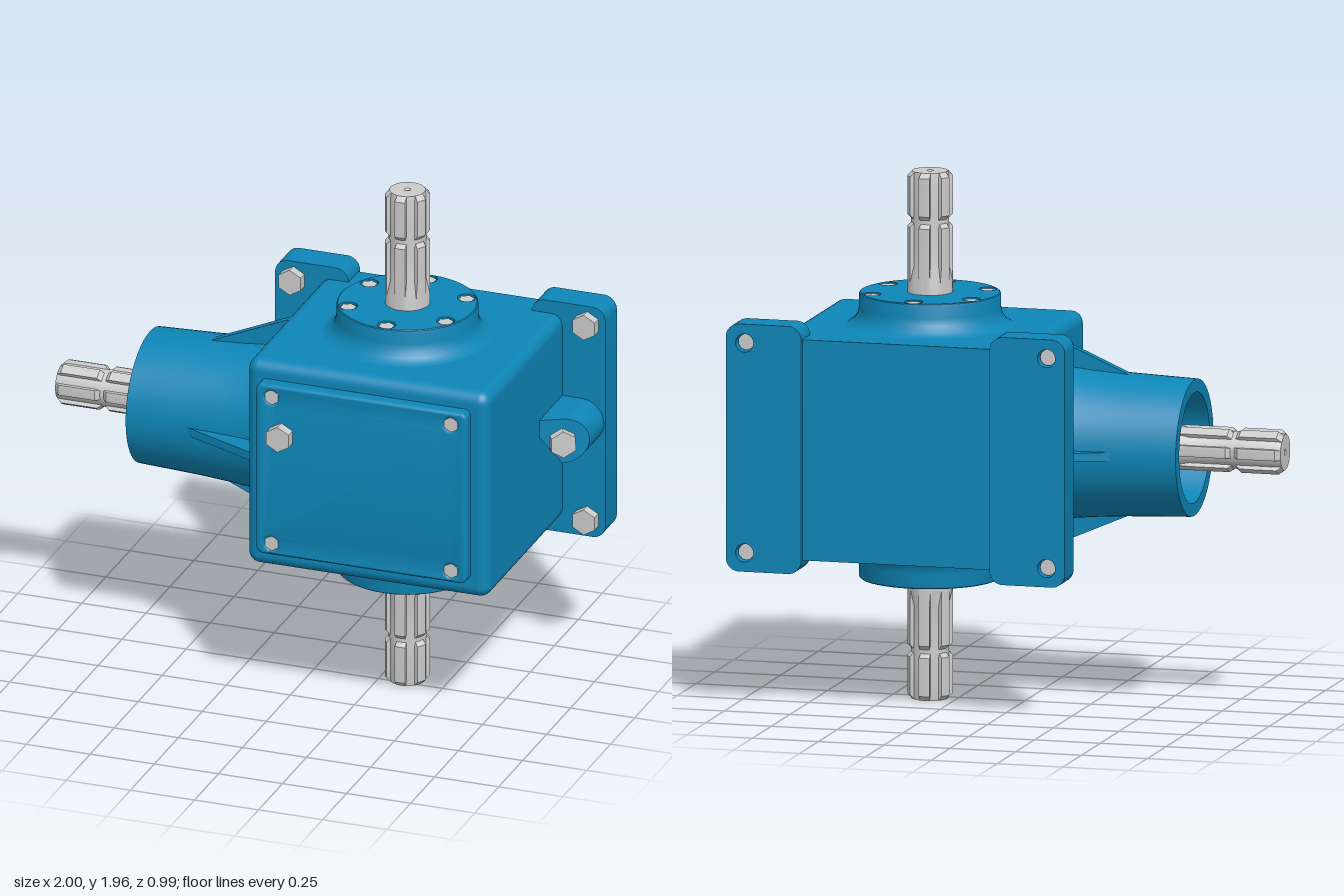
import * as THREE from 'three';
import { toCreasedNormals } from 'three/addons/utils/BufferGeometryUtils.js';
import { RoundedBoxGeometry } from 'three/addons/geometries/RoundedBoxGeometry.js';

const blue = new THREE.MeshStandardMaterial({ color: 0x0e86b7 });
const steel = new THREE.MeshStandardMaterial({ color: 0xcccccc });
const CX = 0.35, CY = 0.98, CZ = -0.037; // where the shaft axes meet

function add(parent, name, geometry, material = blue) {
  const mesh = new THREE.Mesh(geometry, material);
  mesh.name = name;
  parent.add(mesh);
  return mesh;
}

function lathe(points) {
  return toCreasedNormals(new THREE.LatheGeometry(points.map(p => new THREE.Vector2(...p)), 64), 0.6);
}

function hole(x, y, r) {
  return new THREE.Path().absarc(x, y, r, 0, Math.PI * 2, true);
}

function roundedRect(x0, y0, x1, y1, r) {
  const s = new THREE.Shape();
  s.absarc(x1 - r, y1 - r, r, 0, Math.PI / 2);
  s.absarc(x0 + r, y1 - r, r, Math.PI / 2, Math.PI);
  s.absarc(x0 + r, y0 + r, r, Math.PI, Math.PI * 1.5);
  s.absarc(x1 - r, y0 + r, r, Math.PI * 1.5, Math.PI * 2);
  return s;
}

// Plate extruded along z, with edges bevelled inside its outline
function plate(shape, z0, z1, bevel = 0) {
  const g = new THREE.ExtrudeGeometry(shape, {
    depth: z1 - z0 - 2 * bevel, curveSegments: 12, bevelEnabled: bevel > 0,
    bevelSize: bevel, bevelOffset: -bevel, bevelThickness: bevel, bevelSegments: 3,
  });
  return toCreasedNormals(g.translate(0, 0, z0 + bevel), 0.6);
}

// Hex head standing on a point and facing along a direction
function hexHead(parent, name, pos, dir, r, h, spin = 0) {
  const g = new THREE.CylinderGeometry(r, r, h, 6).toNonIndexed();
  g.computeVertexNormals();
  const m = add(parent, name, g.rotateY(spin).translate(0, h / 2, 0), steel);
  m.position.set(...pos);
  m.quaternion.setFromUnitVectors(new THREE.Vector3(0, 1, 0), new THREE.Vector3(...dir).normalize());
  return m;
}

// Six-tooth splined shaft along +y: the section is clamped between radii at each station
function splineShaft(y0, tip) {
  const R = 0.083, root = 0.069, section = [];
  for (let tooth = 0; tooth < 6; tooth++) {
    for (const [a, r] of [[-14, R], [-5, R], [5, R], [14, R], [17, root], [26, root], [34, root], [43, root]])
      section.push([(tooth * 60 + a) * Math.PI / 180, r]);
  }
  // [y, largest radius, smallest radius]
  const stations = [
    [y0, R, R], [tip - 0.41, R, R], [tip - 0.35, R, 0], [tip - 0.205, R, 0],
    [tip - 0.19, 0.069, 0], [tip - 0.175, 0.069, 0], [tip - 0.16, R, 0],
    [tip - 0.018, R, 0], [tip, 0.066, 0], [tip, 0.012, 0], [tip - 0.015, 0.001, 0],
  ];
  const n = section.length, pos = [], index = [];
  stations.forEach(([y, max, min], j) => {
    section.forEach(([a, r0], i) => {
      const r = Math.max(min, Math.min(max, r0));
      pos.push(r * Math.sin(a), y, r * Math.cos(a));
      if (j === 0) return;
      const k = (i + 1) % n, b = (j - 1) * n, t = j * n;
      index.push(b + i, b + k, t + k, b + i, t + k, t + i);
    });
  });
  const g = new THREE.BufferGeometry();
  g.setAttribute('position', new THREE.Float32BufferAttribute(pos, 3));
  g.setIndex(index);
  return toCreasedNormals(g, 0.45);
}

// Rounded box whose back face is flattened to sharp edges
function housingGeometry() {
  const r = 0.045, back = -0.476, front = 0.4;
  const g = new RoundedBoxGeometry(0.945, 0.82, front - back + r, 5, r);
  g.translate(0.3555, CY, (front + back - r) / 2);
  const p = g.attributes.position, nrm = g.attributes.normal;
  for (let i = 0; i < p.count; i += 3) {
    const flat = [0, 1, 2].every(k => p.getZ(i + k) < back + 1e-4);
    for (let k = i; k < i + 3; k++) {
      p.setZ(k, Math.max(back, p.getZ(k)));
      if (flat) nrm.setXYZ(k, 0, 0, -1);
    }
  }
  return g;
}

// Bearing boss with sunken bolts and a splined shaft, pointing up
function shaftEnd(name) {
  const g = new THREE.Group();
  g.name = name;
  g.position.set(CX, CY, CZ);
  add(g, 'bearingBoss', lathe([[0.33, 0.405], [0.305, 0.412], [0.28, 0.428], [0.266, 0.45],
    [0.26, 0.475], [0.26, 0.52], [0.258, 0.527], [0.254, 0.53]]));
  const disc = new THREE.Shape().absarc(0, 0, 0.254, 0, Math.PI * 2);
  const spots = [];
  for (let i = 0; i < 6; i++) {
    const a = Math.PI / 2 + i * Math.PI / 3;
    spots.push([0.219 * Math.cos(a), 0.219 * Math.sin(a)]);
  }
  disc.holes = spots.map(([x, y]) => hole(x, y, 0.034));
  const face = new THREE.ExtrudeGeometry(disc, { depth: 0.03, bevelEnabled: false, curveSegments: 32 });
  add(g, 'bossFace', toCreasedNormals(face.rotateX(-Math.PI / 2).translate(0, 0.5, 0), 0.6));
  add(g, 'bossFloor', new THREE.CylinderGeometry(0.253, 0.253, 0.02, 48).translate(0, 0.495, 0));
  for (const [x, z] of spots) hexHead(g, 'bossBolt', [x, 0.5, z], [0, 1, 0], 0.03, 0.026);
  add(g, 'splinedShaft', splineShaft(0.45, 0.98), steel);
  return g;
}

export function createModel() {
  const model = new THREE.Group();
  model.name = 'gearbox';
  add(model, 'housing', housingGeometry());

  // Front cover with sunken corner bolts and a filler plug
  const cover = roundedRect(-0.06, 0.645, 0.76, 1.325, 0.025);
  const corners = [[0, 0.69], [0.7, 0.69], [0, 1.275], [0.7, 1.275]];
  cover.holes = corners.map(([x, y]) => hole(x, y, 0.026));
  add(model, 'frontCover', plate(cover, 0.39, 0.45, 0.01));
  for (const [x, y] of corners) hexHead(model, 'coverBolt', [x, y, 0.4], [0, 0, 1], 0.03, 0.046);
  hexHead(model, 'fillerPlug', [0.04, 1.13, 0.44], [0, 0, 1], 0.05, 0.052);

  // Upper and lower shafts
  model.add(shaftEnd('upperShaftEnd'));
  const lower = shaftEnd('lowerShaftEnd');
  lower.rotation.x = Math.PI;
  model.add(lower);

  // Hollow input neck on the right, with four ribs
  const neck = new THREE.Group();
  neck.name = 'inputNeck';
  neck.position.set(0, CY, CZ);
  neck.rotation.z = Math.PI / 2;
  add(neck, 'neckTube', lathe([[0.335, 0.11], [0.31, 0.122], [0.293, 0.14], [0.283, 0.175], [0.272, 0.28],
    [0.263, 0.41], [0.253, 0.655], [0.205, 0.655], [0.205, 0.35], [0, 0.35]]));
  const rib = new THREE.Shape([[0.24, 0.1], [0.395, 0.1], [0.388, 0.12], [0.262, 0.41], [0.24, 0.41]]
    .map(p => new THREE.Vector2(...p)));
  for (let i = 0; i < 4; i++)
    add(neck, 'neckRib', plate(rib, -0.016, 0.016)).rotation.y = i * Math.PI / 2;
  add(neck, 'inputShaft', splineShaft(0.3, 1), steel);
  model.add(neck);

  // Two mounting feet, each with two through bolts
  for (const [name, x0, boltX] of [['rightFoot', -0.292, -0.222], ['leftFoot', 0.71, 0.925]]) {
    const foot = new THREE.Group();
    foot.name = name;
    const outline = roundedRect(x0, 0.52, x0 + 0.286, 1.44, 0.05);
    outline.holes = [0.59, 1.37].map(y => hole(boltX, y, 0.034));
    add(foot, 'footPad', plate(outline, -0.494, -0.374));
    for (const y of [0.59, 1.37]) {
      hexHead(foot, 'footBolt', [boltX, y, -0.374], [0, 0, 1], 0.05, 0.038);
      const shank = new THREE.CylinderGeometry(0.03, 0.03, 0.1, 24).rotateX(Math.PI / 2);
      add(foot, 'boltShank', shank, steel).position.set(boltX, y, -0.42);
    }
    model.add(foot);
  }

  // Side lug with a slanted front face carrying the drain plug
  const lug = new THREE.Shape();
  lug.moveTo(0.78, CY - 0.088);
  lug.absarc(0.902, CY, 0.088, -Math.PI / 2, Math.PI / 2);
  lug.lineTo(0.78, CY + 0.088);
  const lugGeo = new THREE.ExtrudeGeometry(lug, { depth: 1, bevelEnabled: false, curveSegments: 24 });
  const p = lugGeo.attributes.position;
  for (let i = 0; i < p.count; i++)
    p.setZ(i, p.getZ(i) > 0.5 ? -0.225 + (0.99 - p.getX(i)) * 0.56 : -0.4);
  lugGeo.computeVertexNormals();
  add(model, 'sideLug', toCreasedNormals(lugGeo, 0.6));
  hexHead(model, 'drainPlug', [0.9, CY, -0.178], [0.49, 0, 0.87], 0.052, 0.038, Math.PI / 6);
  return model;
}
